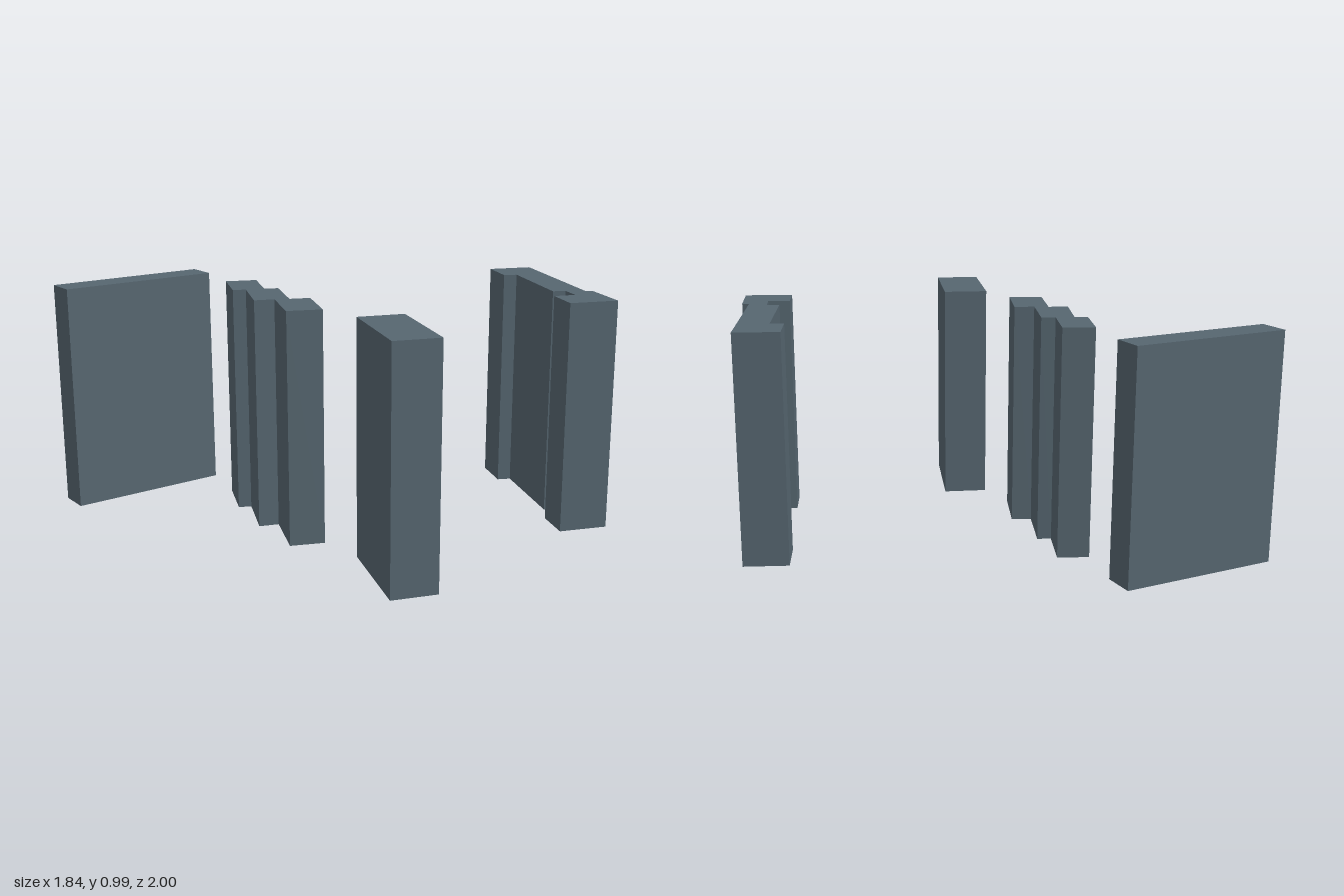
import * as THREE from 'three';

const HEIGHT = 0.99;

// Floor plans as [x, z] corners
const plans = {
  leftWall: [[-0.92, 0.295], [-0.785, 0.295], [-0.785, 1], [-0.92, 1]],
  steppedWall: [
    [-0.49, 0.225], [-0.285, 0.315], [-0.26, 0.26], [-0.025, 0.36], [0.01, 0.28], [0.24, 0.38],
    [0.18, 0.515], [-0.055, 0.415], [-0.085, 0.495], [-0.315, 0.39], [-0.34, 0.44], [-0.545, 0.35],
  ],
  rightBlock: [[0.505, 0.178], [0.918, 0.338], [0.85, 0.52], [0.438, 0.363]],
  backWall: [
    [0, -1], [0.595, -0.745], [0.615, -0.77], [0.825, -0.69], [0.745, -0.493], [0.595, -0.555],
    [0.63, -0.645], [0.54, -0.68], [0.515, -0.63], [0.117, -0.803], [0.09, -0.75], [-0.075, -0.82],
  ],
};

// Raise a floor plan into a vertical prism
function wall(name, plan, material) {
  const shape = new THREE.Shape(plan.map(([x, z]) => new THREE.Vector2(x, -z)));
  const geometry = new THREE.ExtrudeGeometry(shape, { depth: HEIGHT, bevelEnabled: false });
  geometry.rotateX(-Math.PI / 2);
  const mesh = new THREE.Mesh(geometry, material);
  mesh.name = name;
  return mesh;
}

export function createModel() {
  const group = new THREE.Group();
  group.name = 'wallSegments';
  const slate = new THREE.MeshStandardMaterial({ color: 0x566670 });
  slate.name = 'slate grey';
  for (const [name, plan] of Object.entries(plans)) group.add(wall(name, plan, slate));
  return group;
}
